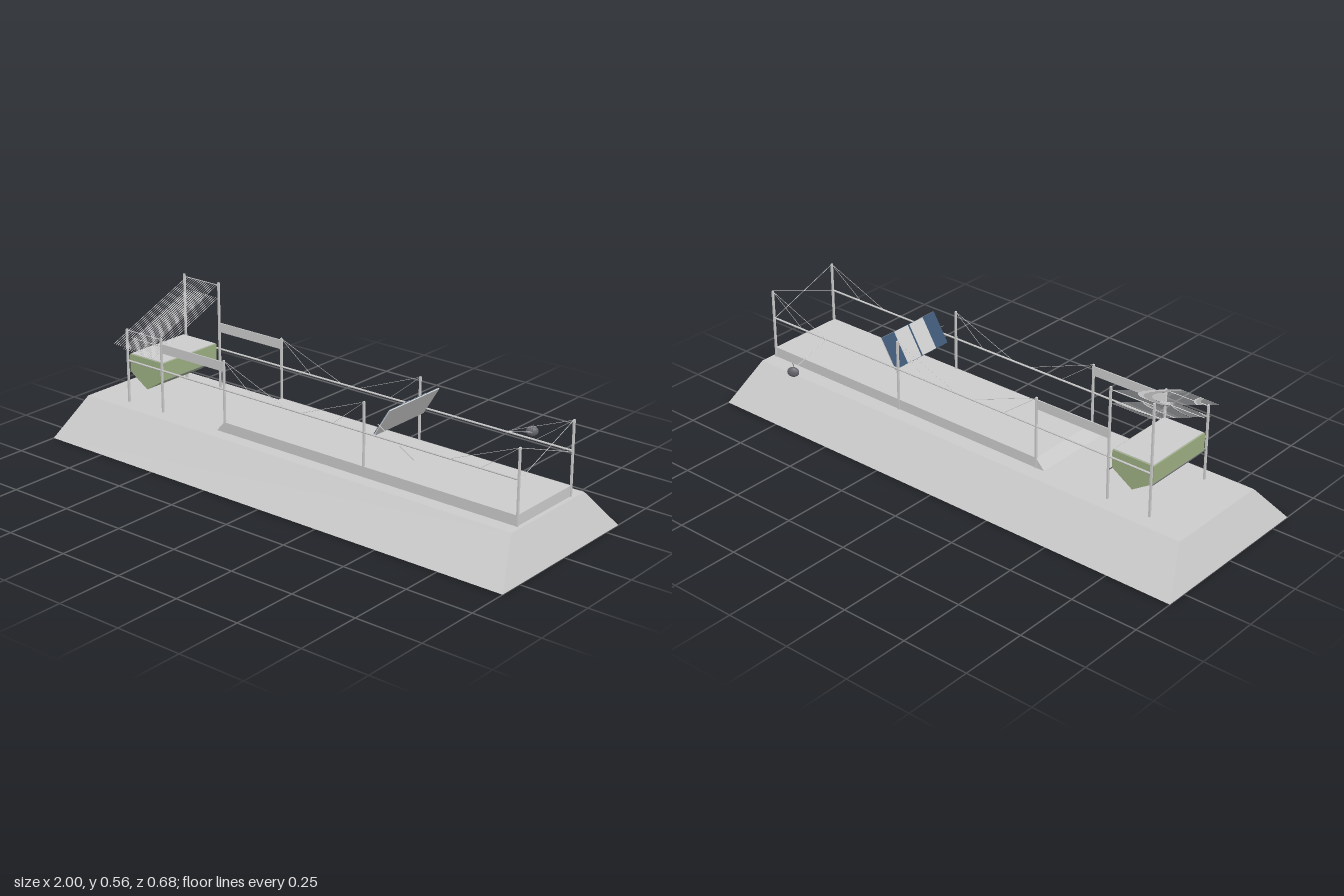
import * as THREE from 'three';

const grey = new THREE.MeshStandardMaterial({ color: 0xcccccc, flatShading: true, side: THREE.DoubleSide });
const tint = (color) => new THREE.MeshStandardMaterial({ color, flatShading: true, side: THREE.DoubleSide });
const green = tint(0x9db083), blue = tint(0x3c5674), dark = tint(0x66666e);

const FRONT = 0.162, BACK = -0.142; // the two fence lines
const GROUND = 0.145;

export function createModel() {
  const root = new THREE.Group();

  const add = (name, geometry, material = grey, parent = root) => {
    const mesh = new THREE.Mesh(geometry, material);
    mesh.name = name;
    parent.add(mesh);
    return mesh;
  };

  // Box given by its limits
  const block = (name, [x0, x1], [y0, y1], [z0, z1], material, parent) => {
    const mesh = add(name, new THREE.BoxGeometry(x1 - x0, y1 - y0, z1 - z0), material, parent);
    mesh.position.set((x0 + x1) / 2, (y0 + y1) / 2, (z0 + z1) / 2);
    return mesh;
  };

  // Thin bar between two points
  const bar = (name, from, to, radius, material, parent) => {
    const a = new THREE.Vector3(...from), b = new THREE.Vector3(...to);
    const mesh = add(name, new THREE.CylinderGeometry(radius, radius, a.distanceTo(b), 6), material, parent);
    mesh.position.copy(a).add(b).multiplyScalar(0.5);
    mesh.quaternion.setFromUnitVectors(new THREE.Vector3(0, 1, 0), b.sub(a).normalize());
    return mesh;
  };

  // Box tapering from a bottom rectangle to a top one, without an underside
  const taper = (name, y0, y1, bottom, top) => {
    const geo = new THREE.BoxGeometry(1, 1, 1);
    const pos = geo.attributes.position;
    for (let i = 0; i < pos.count; i++) {
      const up = pos.getY(i) > 0, r = up ? top : bottom;
      pos.setXYZ(i, pos.getX(i) < 0 ? r[0] : r[1], up ? y1 : y0, pos.getZ(i) < 0 ? r[2] : r[3]);
    }
    geo.setIndex([...geo.index.array].filter((_, i) => i < 18 || i >= 24));
    geo.clearGroups();
    geo.computeVertexNormals();
    return add(name, geo);
  };

  // Hollow mound and the raised deck with one sloping end
  taper('mound', 0, GROUND, [-1, 1, -0.325, 0.341], [-0.94, 0.94, -0.2, 0.215]);
  taper('deck', GROUND, 0.183, [-0.345, 0.925, BACK, 0.165], [-0.31, 0.925, BACK, 0.165]);

  // Posts, rails, boards and stay ropes along both sides
  for (const z of [FRONT, BACK]) {
    const side = new THREE.Group();
    side.name = z === FRONT ? 'frontFence' : 'backFence';
    root.add(side);
    const tall = z === FRONT ? 0.424 : 0.558;
    for (const [x, top] of [[-0.78, tall], [-0.61, tall], [-0.31, 0.412], [0.31, 0.412], [0.925, 0.412]])
      block('post', [x - 0.003, x + 0.003], [GROUND, top], [z - 0.004, z + 0.004], grey, side);
    bar('rail', [-0.78, 0.304, z], [0.925, 0.304, z], 0.0035, grey, side);
    block('board', [-0.61, -0.31], [0.37, 0.405], [z - 0.002, z + 0.002], grey, side);
    for (const [x, foot] of [[-0.31, -0.17], [-0.31, -0.03], [0.31, 0.18], [0.31, 0.04], [0.925, 0.78], [0.925, 0.66]])
      bar('stayRope', [x, 0.41, z], [foot, 0.304, z], 0.0008, grey, side);
  }

  // Crossed braces closing the far end
  bar('endBrace', [0.925, 0.41, FRONT], [0.925, 0.3, BACK], 0.001);
  bar('endBrace', [0.925, 0.3, FRONT], [0.925, 0.412, BACK], 0.001);

  // Sloping slatted roof: two layers of thin strands on cross beams
  const roof = new THREE.Group();
  roof.name = 'slattedRoof';
  root.add(roof);
  for (let i = 0; i < 16; i++) {
    const x = -0.768 + i * 0.01;
    bar('upperStrand', [x, 0.548, BACK], [x, 0.39, 0.24], 0.001, grey, roof);
    bar('lowerStrand', [x + 0.004, 0.5, BACK], [x + 0.004, 0.36, 0.2], 0.001, grey, roof);
  }
  bar('frontBeam', [-0.78, 0.42, FRONT], [-0.61, 0.42, FRONT], 0.0015, grey, roof);
  bar('lowerBeam', [-0.78, 0.385, 0.142], [-0.61, 0.385, 0.142], 0.0015, grey, roof);
  bar('backBeam', [-0.78, 0.548, BACK], [-0.61, 0.548, BACK], 0.0015, grey, roof);

  // Trough with a V-shaped underside, hung on long rods
  const outline = new THREE.Shape([
    [-0.78, 0.325], [-0.78, 0.26], [-0.698, 0.208], [-0.615, 0.26], [-0.615, 0.325],
  ].map(([x, y]) => new THREE.Vector2(x, y)));
  const trough = add('trough', new THREE.ExtrudeGeometry(outline, { depth: 0.281, bevelEnabled: false }), green);
  trough.position.z = -0.13;
  block('troughLid', [-0.776, -0.619], [0.324, 0.328], [-0.126, 0.147]);
  for (const x of [-0.78, -0.615]) bar('troughRod', [x, 0.258, BACK], [x, 0.258, FRONT], 0.002, dark);

  // Tilted panel: blue face with two grey cells, grey back
  const panel = new THREE.Group();
  panel.name = 'tiltedPanel';
  panel.position.set(0.3625, 0.342, 0.002);
  panel.rotation.z = Math.atan2(0.105, 0.065);
  root.add(panel);
  block('panelBack', [-0.061, 0.061], [-0.003, 0.001], [-0.135, 0.135], grey, panel);
  block('panelFace', [-0.061, 0.061], [0.001, 0.003], [-0.135, 0.135], blue, panel);
  for (const z of [-0.039, 0.039])
    block('panelCell', [-0.06, 0.06], [0.003, 0.004], [z - 0.035, z + 0.035], grey, panel);
  bar('panelStrut', [0.36, 0.342, 0.152], [0.51, 0.255, 0.152], 0.001);

  // Small dish on an arm reaching out behind
  bar('dishArm', [0.66, 0.303, BACK], [0.66, 0.25, -0.305], 0.0012);
  const dish = add('dish', new THREE.SphereGeometry(0.022, 14, 8), dark);
  dish.scale.set(1, 0.85, 0.6);
  dish.rotation.y = 0.5;
  dish.position.set(0.65, 0.247, -0.32);
  bar('dishAerial', [0.66, 0.243, -0.302], [0.66, 0.276, -0.312], 0.0012, dark);

  return root;
}
